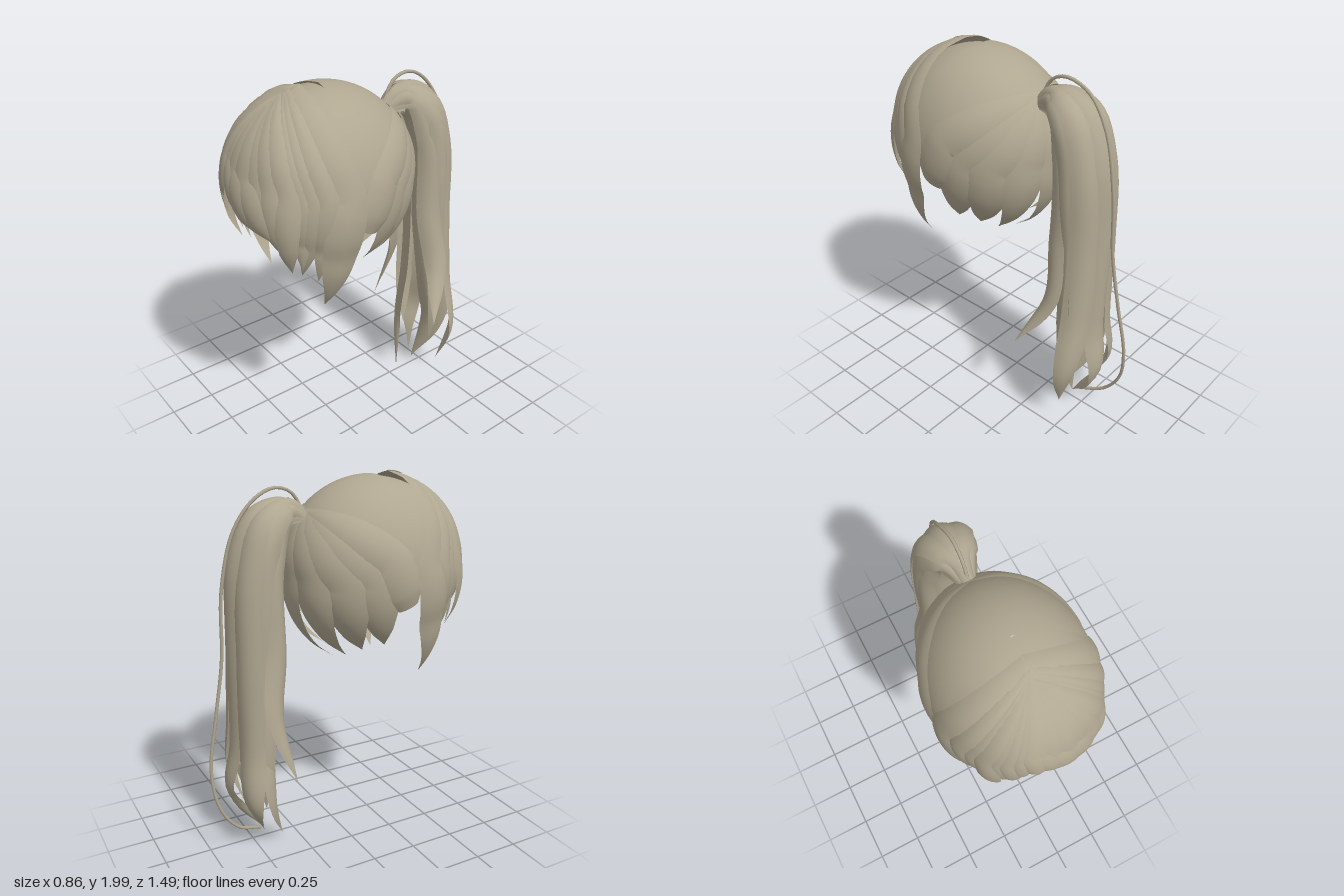
import * as THREE from 'three';
import { toCreasedNormals } from 'three/addons/utils/BufferGeometryUtils.js';

const V = (p) => new THREE.Vector3(...p);
const mirror = ([x, y, z]) => [-x, y, z];

// Skull ellipsoid that the hair lies on
const CENTRE = V([0, 1.52, 0.24]);
const RADII = V([0.41, 0.465, 0.49]);

const hair = new THREE.MeshStandardMaterial({ color: 0xb0a791, side: THREE.DoubleSide });
hair.name = 'ash blond hair';

// Linear lookup in a short list of values, t from 0 to 1
function sample(list, t) {
  const f = t * (list.length - 1), i = Math.min(Math.floor(f), list.length - 2);
  return list[i] + (list[i + 1] - list[i]) * (f - i);
}

// Lens-shaped lock swept along a curve; outward(p) says which way it faces
function lockGeometry(curve, outward, half, profile, thick, bowRadius, steps = 28) {
  const pos = [], index = [], N = 8, ring = N * 2;
  for (let i = 0; i <= steps; i++) {
    const t = i / steps, p = curve.getPoint(t), tan = curve.getTangent(t);
    const out = outward(p).clone();
    out.addScaledVector(tan, -out.dot(tan)).normalize();
    const side = tan.clone().cross(out);
    const k = Math.max(sample(profile, t), 0.015), w = half * k;
    for (let j = 0; j < ring; j++) {
      const s = j <= N ? -1 + (2 * j) / N : 1 - (2 * (j - N)) / N;
      const lift = (j <= N ? thick : -thick * 0.3) * k * (1 - s * s) - (s * s * w * w) / (2 * bowRadius);
      const q = p.clone().addScaledVector(side, s * w).addScaledVector(out, lift);
      pos.push(q.x, q.y, q.z);
      if (i < steps) {
        const a = i * ring + j, b = i * ring + ((j + 1) % ring);
        index.push(a, b, a + ring, b, b + ring, a + ring);
      }
    }
  }
  const g = new THREE.BufferGeometry();
  g.setAttribute('position', new THREE.Float32BufferAttribute(pos, 3));
  g.setIndex(index);
  return toCreasedNormals(g, 0.7);
}

// Curve through the given points, following the skull between them
function skullCurve(points) {
  const ns = points.map((p) => V(p).sub(CENTRE).divide(RADII));
  const path = [];
  for (let i = 0; i < ns.length - 1; i++) {
    const a = ns[i].clone().normalize(), b = ns[i + 1].clone().normalize();
    const ang = a.angleTo(b);
    for (let k = i ? 1 : 0; k <= 4; k++) {
      const t = k / 4, r = ns[i].length() * (1 - t) + ns[i + 1].length() * t;
      const d = a.clone().multiplyScalar(Math.sin((1 - t) * ang)).addScaledVector(b, Math.sin(t * ang));
      path.push(d.normalize().multiplyScalar(r).multiply(RADII).add(CENTRE));
    }
  }
  return new THREE.CatmullRomCurve3(path);
}

const skullOut = (p) => p.clone().sub(CENTRE).divide(RADII).divide(RADII).normalize();

export function createModel() {
  const model = new THREE.Group();
  model.name = 'ponytailHair';
  const add = (parent, name, geometry) => {
    const m = new THREE.Mesh(geometry, hair);
    m.name = name;
    parent.add(m);
  };
  const group = (name) => {
    const g = new THREE.Group();
    g.name = name;
    model.add(g);
    return g;
  };

  // Smooth cap over the back and a short layer beneath the fringe
  const shell = (name, phi, phiLen, theta, scale) => {
    const g = new THREE.SphereGeometry(1, 40, 24, phi, phiLen, 0, theta);
    g.scale(RADII.x * scale, RADII.y * scale, RADII.z * scale);
    g.translate(CENTRE.x, CENTRE.y, CENTRE.z);
    add(model, name, g);
  };
  shell('backCap', Math.PI - 0.2, Math.PI + 0.4, 1.62, 1);
  shell('fringeUnderlayer', 0, Math.PI, 1.3, 0.975);

  // Pointed locks around the nape, gathered at the tie
  const nape = group('napeLocks');
  const napeProfile = [0.2, 0.65, 0.95, 1.05, 1, 0.8, 0.45, 0];
  const earProfile = [0.2, 0.5, 0.8, 1, 1, 1, 0.95, 0.5];
  const napeLock = (pts, half, profile) =>
    add(nape, 'napeLock', lockGeometry(skullCurve(pts), skullOut, half, profile, 0.015, 0.42));
  const tie = [0, 1.81, -0.15];
  napeLock([tie, [0, 1.5, -0.25], [0, 1.02, 0.01]], 0.1, napeProfile);
  [
    [[0.17, 1.5, -0.205], [0.13, 1.06, 0.02], 0.11, napeProfile],
    [[0.3, 1.48, -0.09], [0.2, 1.1, 0.08], 0.125, napeProfile],
    [[0.37, 1.5, 0.05], [0.26, 1.13, 0.18], 0.125, napeProfile],
    [[0.395, 1.6, 0.14], [0.39, 1.35, 0.24], 0.11, earProfile],
  ].forEach(([mid, end, half, profile]) => {
    napeLock([tie, mid, end], half, profile);
    napeLock([tie, mirror(mid), mirror(end)], half, profile);
  });

  // Wide side locks that arch over the crown and hang before the ears
  const sides = group('sideLocks');
  const sideProfile = [0.5, 0.6, 0.75, 0.9, 1, 1, 0.9, 0.7, 0.35, 0];
  const strandProfile = [0.3, 0.6, 0.9, 1, 0.9, 0.65, 0.35, 0];
  [
    // crown, cheek, jaw, tip, half width
    [[-0.02, 1.985, 0.385], [0.405, 1.56, 0.36], [0.375, 1.25, 0.4], [0.25, 0.94, 0.41], 0.1, sideProfile],
    [[0, 1.98, 0.41], [0.378, 1.56, 0.46], [0.34, 1.3, 0.47], [0.29, 1.12, 0.47], 0.065, strandProfile],
    [[0, 1.975, 0.42], [0.345, 1.56, 0.52], [0.31, 1.32, 0.53], [0.24, 1.15, 0.53], 0.06, strandProfile],
    [[0, 1.97, 0.43], [0.32, 1.56, 0.56], [0.3, 1.35, 0.56], [0.28, 1.2, 0.55], 0.055, strandProfile],
  ].forEach(([a, b, c, d, half, profile]) => {
    for (const pts of [[a, b, c, d], [a, b, c, d].map(mirror)])
      add(sides, 'sideLock', lockGeometry(skullCurve(pts), skullOut, half, profile, 0.014, 0.42));
  });

  // Fringe fanning from a parting, mostly swept to the left
  const fringe = group('fringe');
  const parting = [-0.02, 1.965, 0.44];
  const sweepProfile = [0.25, 0.6, 0.9, 1, 1, 0.9, 0.65, 0];
  [
    [[-0.3, 1.6, 0.59], [-0.24, 1.18, 0.58], 0.065],
    [[-0.27, 1.6, 0.62], [-0.21, 1.28, 0.62], 0.065],
    [[-0.23, 1.63, 0.65], [-0.2, 1.35, 0.66], 0.06],
    [[-0.18, 1.67, 0.67], [-0.18, 1.45, 0.69], 0.055],
    [[-0.14, 1.7, 0.68], [-0.1, 1.5, 0.73], 0.06],
    [[-0.11, 1.68, 0.69], [0.03, 1.45, 0.73], 0.075],
    [[-0.04, 1.64, 0.71], [0.14, 1.4, 0.71], 0.09],
    [[0.06, 1.62, 0.71], [0.23, 1.37, 0.67], 0.09],
    [[0.15, 1.62, 0.68], [0.27, 1.36, 0.62], 0.085],
    [[0.22, 1.62, 0.65], [0.24, 1.29, 0.63], 0.07],
    [[0.28, 1.6, 0.61], [0.25, 1.19, 0.59], 0.065],
  ].forEach(([mid, end, half]) =>
    add(fringe, 'fringeLock',
      lockGeometry(skullCurve([parting, mid, end]), skullOut, half, sweepProfile, 0.014, 0.4)));

  // Ponytail: facing direction, half width, path
  const tail = group('ponytail');
  const tailProfile = [0.35, 0.55, 0.8, 0.95, 1, 1, 1, 0.95, 0.6, 0];
  const tailLock = (facing, half, pts) =>
    add(tail, 'ponytailLock', lockGeometry(new THREE.CatmullRomCurve3(pts.map(V)),
      () => V(facing), half, tailProfile, 0.02, 0.2, 40));
  // outer back locks
  tailLock([0, 1, -1], 0.08, [[0, 1.8, -0.15], [0, 1.88, -0.27], [0, 1.83, -0.44], [0, 1.6, -0.555],
    [0, 1.2, -0.58], [0.02, 0.6, -0.58], [0.04, 0.33, -0.61], [0, 0.06, -0.43]]);
  tailLock([-0.6, 0.8, -0.8], 0.08, [[-0.02, 1.8, -0.15], [-0.05, 1.87, -0.28], [-0.09, 1.8, -0.43],
    [-0.11, 1.55, -0.52], [-0.12, 1.1, -0.54], [-0.13, 0.6, -0.54], [-0.16, 0.3, -0.55], [-0.05, 0.08, -0.45]]);
  tailLock([0.6, 0.8, -0.8], 0.08, [[0.02, 1.8, -0.15], [0.05, 1.87, -0.28], [0.09, 1.8, -0.43],
    [0.11, 1.55, -0.52], [0.12, 1.1, -0.54], [0.16, 0.7, -0.54], [0.23, 0.38, -0.53], [0.18, 0.14, -0.47]]);
  // locks on the two flanks
  for (const s of [-1, 1])
    tailLock([s, 0.7, -0.1], 0.07, [[s * 0.03, 1.79, -0.16], [s * 0.08, 1.84, -0.28], [s * 0.13, 1.72, -0.4],
      [s * 0.15, 1.4, -0.45], [s * 0.14, 0.95, -0.47], [s * 0.15, 0.5, -0.47], [s * 0.12, 0.25, -0.46]]);
  // long inner locks
  tailLock([-0.6, 0.5, 0.8], 0.085, [[-0.02, 1.79, -0.16], [-0.05, 1.8, -0.28], [-0.08, 1.6, -0.37],
    [-0.06, 1.1, -0.4], [-0.09, 0.7, -0.42], [-0.15, 0.3, -0.43], [-0.03, 0.01, -0.33]]);
  tailLock([0.4, 0.5, 0.8], 0.1, [[0.02, 1.79, -0.16], [0.05, 1.8, -0.28], [0.08, 1.6, -0.38],
    [0.09, 1.1, -0.42], [0.12, 0.7, -0.45], [0.11, 0.4, -0.48], [0, 0.06, -0.43]]);
  // short flaring locks
  tailLock([0.9, 0.6, 0.4], 0.07, [[0.03, 1.79, -0.16], [0.08, 1.81, -0.29], [0.13, 1.6, -0.37],
    [0.15, 1.15, -0.38], [0.21, 0.82, -0.4], [0.34, 0.56, -0.28]]);
  tailLock([-0.9, 0.6, 0.4], 0.07, [[-0.03, 1.79, -0.16], [-0.08, 1.81, -0.29], [-0.13, 1.6, -0.37],
    [-0.15, 1.15, -0.38], [-0.2, 0.8, -0.42], [-0.27, 0.45, -0.34]]);

  // Single loose strand looping off the tie
  const loose = [[0, 1.79, -0.15], [0, 1.91, -0.22], [0, 1.94, -0.31], [-0.01, 1.89, -0.43],
    [0, 1.74, -0.54], [0.01, 1.45, -0.61], [0, 1.1, -0.63], [-0.01, 0.8, -0.68], [-0.03, 0.5, -0.73],
    [-0.055, 0.28, -0.7], [-0.05, 0.14, -0.6], [-0.02, 0.08, -0.46]];
  add(tail, 'looseStrand',
    new THREE.TubeGeometry(new THREE.CatmullRomCurve3(loose.map(V)), 70, 0.009, 6, false));

  return model;
}
